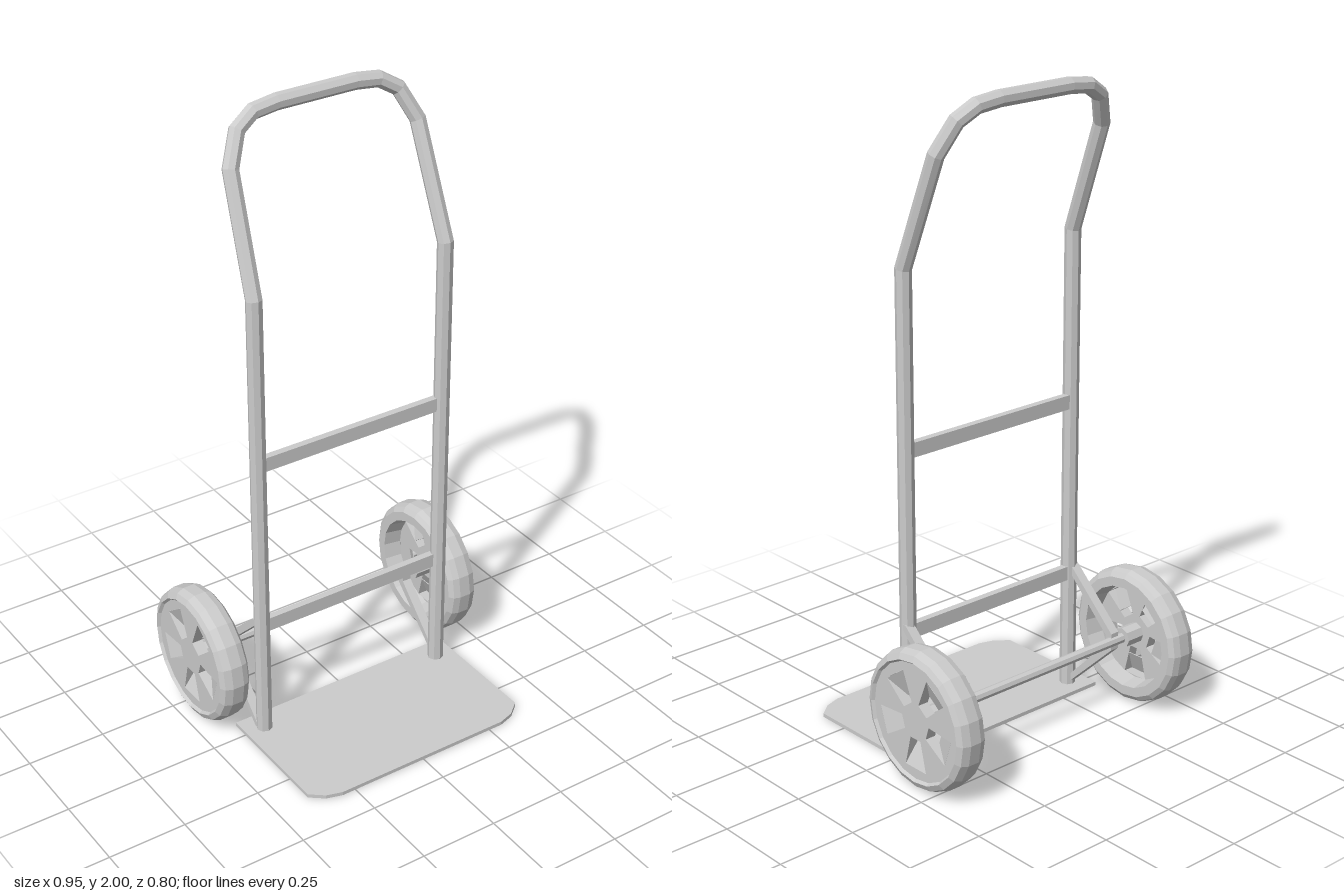
import * as THREE from 'three';

const metal = new THREE.MeshStandardMaterial({ color: 0xcccccc, flatShading: true });

function add(parent, name, geometry, x = 0, y = 0, z = 0) {
  const mesh = new THREE.Mesh(geometry, metal);
  mesh.name = name;
  mesh.position.set(x, y, z);
  parent.add(mesh);
  return mesh;
}

// Straight-segment path with one tube ring per point
class Polyline extends THREE.Curve {
  constructor(points) { super(); this.points = points; }
  getPoint(u, target = new THREE.Vector3()) {
    const n = this.points.length - 1;
    const i = Math.min(Math.floor(u * n + 1e-6), n - 1);
    return target.lerpVectors(this.points[i], this.points[i + 1], u * n - i);
  }
  getPointAt(u, target) { return this.getPoint(u, target); }
  getTangentAt(u, target = new THREE.Vector3()) {
    const n = this.points.length - 1, i = Math.round(u * n), p = this.points;
    const dir = new THREE.Vector3();
    if (i > 0) dir.add(p[i].clone().sub(p[i - 1]).normalize());
    if (i < n) dir.add(p[i + 1].clone().sub(p[i]).normalize());
    return target.copy(dir.normalize());
  }
}

function shapeFrom(points) {
  return new THREE.Shape(points.map(([x, y]) => new THREE.Vector2(x, y)));
}

// Bent handle frame; the upper part leans backward
function frameGeometry() {
  const side = [[0.325, 0.01], [0.325, 1.5], [0.311, 1.84], [0.267, 1.932], [0.208, 1.968], [0.13, 1.977]];
  const outline = [...side, ...side.slice().reverse().map(([x, y]) => [-x, y])];
  const points = outline.map(([x, y]) =>
    new THREE.Vector3(x, y, 0.01 - 0.375 * Math.max(0, y - 1.5)));
  return new THREE.TubeGeometry(new Polyline(points), points.length - 1, 0.025, 8);
}

// Wheel with its axis on local z, outer face toward +z
function makeWheel(name) {
  const wheel = new THREE.Group();
  wheel.name = name;

  // Tyre cross-section: radius, depth
  const profile = [[0.155, 0.06], [0.165, 0.004], [0.195, 0.004], [0.21, 0.015], [0.217, 0.035],
    [0.217, 0.072], [0.208, 0.095], [0.19, 0.104], [0.183, 0.095], [0.155, 0.06]];
  const tyre = new THREE.LatheGeometry(profile.map(([r, d]) => new THREE.Vector2(r, d)), 20);
  add(wheel, 'tyre', tyre.rotateX(Math.PI / 2));

  // Disc with five wedge slots, each with a sloping floor
  const disc = new THREE.Shape().absarc(0, 0, 0.186, 0, Math.PI * 2);
  const slope = Math.atan2(0.033, 0.07);
  for (let i = 0; i < 5; i++) {
    const a = -Math.PI / 2 + i * Math.PI * 2 / 5;
    const corners = [[0.055, -0.022], [0.15, -0.045], [0.15, 0.045], [0.055, 0.022]];
    disc.holes.push(new THREE.Path(corners.map(([x, y]) =>
      new THREE.Vector2(x, y).rotateAround(new THREE.Vector2(), a))));
    const floor = new THREE.BoxGeometry(0.077, 0.092, 0.002);
    floor.rotateY(-slope).translate(0.115, 0, 0.0775).rotateZ(a);
    add(wheel, 'slotFloor', floor);
  }
  add(wheel, 'disc', new THREE.ExtrudeGeometry(disc,
    { depth: 0.035, bevelEnabled: false, curveSegments: 20 }), 0, 0, 0.06);

  // Hub collar around the axle
  add(wheel, 'hub', new THREE.CylinderGeometry(0.032, 0.032, 0.065, 8).rotateX(Math.PI / 2), 0, 0, 0.03);
  return wheel;
}

export function createModel() {
  const model = new THREE.Group();
  model.name = 'handTruck';

  add(model, 'frame', frameGeometry());

  // Flat crossbars
  for (const [name, y] of [['upperCrossbar', 0.962], ['lowerCrossbar', 0.397]]) {
    add(model, name, new THREE.BoxGeometry(0.63, 0.045, 0.022), 0, y, 0.006);
  }

  // Toe plate with clipped front corners, drawn as x and -z
  const half = [[0.388, 0.055], [0.388, -0.35], [0.345, -0.385], [0.295, -0.4]];
  const plate = shapeFrom([...half, ...half.slice().reverse().map(([x, y]) => [-x, y])]);
  const plateGeometry = new THREE.ExtrudeGeometry(plate, { depth: 0.012, bevelEnabled: false });
  add(model, 'toePlate', plateGeometry.rotateX(-Math.PI / 2), 0, 0.002, 0);

  // Axle
  add(model, 'axle', new THREE.CylinderGeometry(0.016, 0.016, 0.8, 8).rotateZ(Math.PI / 2), 0, 0.222, -0.186);

  // Bent brackets holding the axle, drawn as -z and y
  const bracket = shapeFrom([[-0.01, 0.425], [0.005, 0.425], [0.19, 0.25], [0.19, 0.195], [0.005, 0.02],
    [-0.01, 0.02], [-0.01, 0.03], [0.165, 0.205], [0.165, 0.24], [-0.01, 0.41]]);

  for (const side of [1, -1]) {
    const label = side > 0 ? 'left' : 'right';
    const strip = new THREE.ExtrudeGeometry(bracket, { depth: 0.03, bevelEnabled: false });
    strip.rotateY(Math.PI / 2).translate(-0.015, 0, 0);
    add(model, label + 'AxleBracket', strip, side * 0.333, 0, 0);

    const wheel = makeWheel(label + 'Wheel');
    wheel.position.set(side * 0.37, 0.222, -0.186);
    wheel.rotation.y = side * Math.PI / 2;
    model.add(wheel);
  }
  return model;
}
